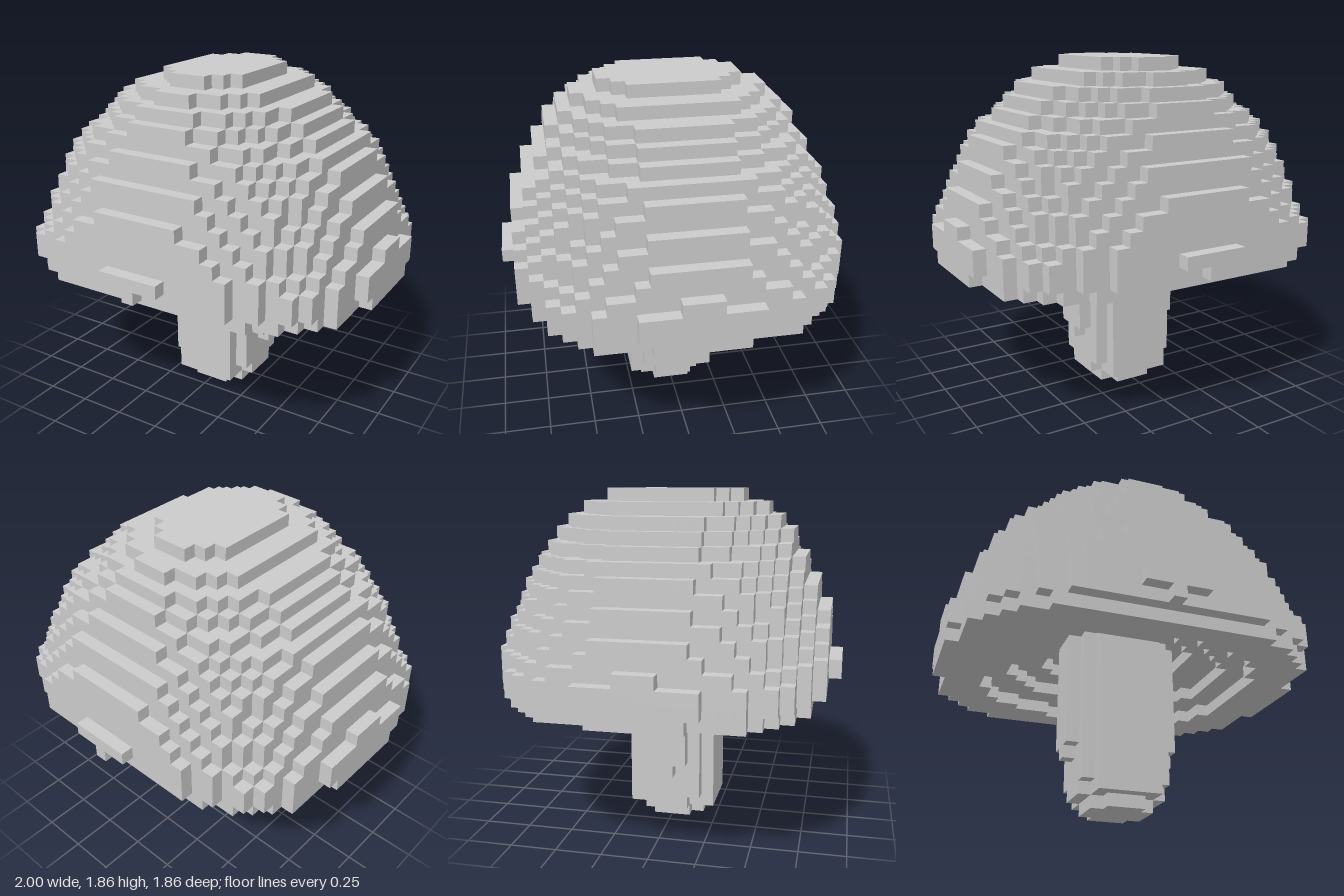
import * as THREE from 'three';

const S = 2 / 29; // edge of one block

// Stepped stem, one row per range of layers: [from, to, x radius, z radius, exponent]
const STEM = [
  [0, 0, 2.5, 2.5, 3], [1, 1, 3.2, 3.6, 2.5], [2, 3, 3.5, 3.5, 2.5],
  [4, 4, 4.02, 3.5, 2.5], [5, 13, 4.15, 3.5, 2.5],
];

// Domed cap, from the rim upwards
const CAP = [
  [11, 11, 14.15, 11.95, 3], [12, 12, 14.32, 13.001, 2.7], [13, 13, 14.32, 13.07, 2.7],
  [14, 14, 14.02, 12.98, 2.7], [15, 15, 13.4, 12.85, 2.5], [16, 16, 13.2, 12.55, 2.5],
  [17, 17, 12.8, 12.24, 2.4], [18, 18, 12.3, 11.8, 2.4], [19, 19, 11.8, 11.5, 2.4],
  [20, 20, 11.3, 10.8, 2.4], [21, 21, 10.6, 10.4, 2.3], [22, 22, 9.6, 9.8, 2.2],
  [23, 23, 8.6, 9.3, 2.1], [24, 24, 7.5, 8.5, 2], [25, 25, 5.95, 7.4, 2], [26, 26, 3.9, 5.6, 2],
];

// Stepped hollow under the cap
const HOLLOW = [[11, 11, 10.8, 9.3, 2.5], [12, 12, 8.4, 7.2, 2.5], [13, 13, 5.8, 4.9, 2.5]];

// Is block (x, y, z) inside a stack of rounded layers?
function inside(layers, x, y, z) {
  const row = layers.find(([from, to]) => y >= from && y <= to);
  if (!row) return false;
  const [, , a, b, p] = row;
  return (Math.abs(x) / a) ** p + (Math.abs(z) / b) ** p <= 1;
}

const isStem = (x, y, z) => inside(STEM, x, y, z);
const isCap = (x, y, z) => inside(CAP, x, y, z) && !inside(HOLLOW, x, y, z) && !isStem(x, y, z);
const isSolid = (x, y, z) => isStem(x, y, z) || isCap(x, y, z);

// Square faces of the blocks wherever they meet open air
function blockGeometry(test) {
  const positions = [];
  const face = (cell, axis, sign) => {
    const u = (axis + 1) % 3, v = (axis + 2) % 3;
    const corner = (du, dv) => {
      const c = [...cell];
      c[axis] += sign * 0.5;
      c[u] += du * 0.5 * sign;
      c[v] += dv * 0.5;
      return [c[0] * S, (c[1] + 0.5) * S, c[2] * S];
    };
    const [a, b, c, d] = [corner(-1, -1), corner(1, -1), corner(1, 1), corner(-1, 1)];
    positions.push(...a, ...b, ...c, ...a, ...c, ...d);
  };
  for (let y = 0; y < 27; y++)
    for (let x = -14; x <= 14; x++)
      for (let z = -13; z <= 13; z++) {
        if (!test(x, y, z)) continue;
        for (let axis = 0; axis < 3; axis++)
          for (const sign of [-1, 1]) {
            const next = [x, y, z];
            next[axis] += sign;
            if (!isSolid(...next)) face([x, y, z], axis, sign);
          }
      }
  const geometry = new THREE.BufferGeometry();
  geometry.setAttribute('position', new THREE.Float32BufferAttribute(positions, 3));
  geometry.computeVertexNormals();
  return geometry;
}

export function createModel() {
  const group = new THREE.Group();
  group.name = 'blockMushroom';
  const material = new THREE.MeshStandardMaterial({ color: 0xcccccc, flatShading: true });
  for (const [name, test] of [['stem', isStem], ['cap', isCap]]) {
    const mesh = new THREE.Mesh(blockGeometry(test), material);
    mesh.name = name;
    group.add(mesh);
  }
  return group;
}
